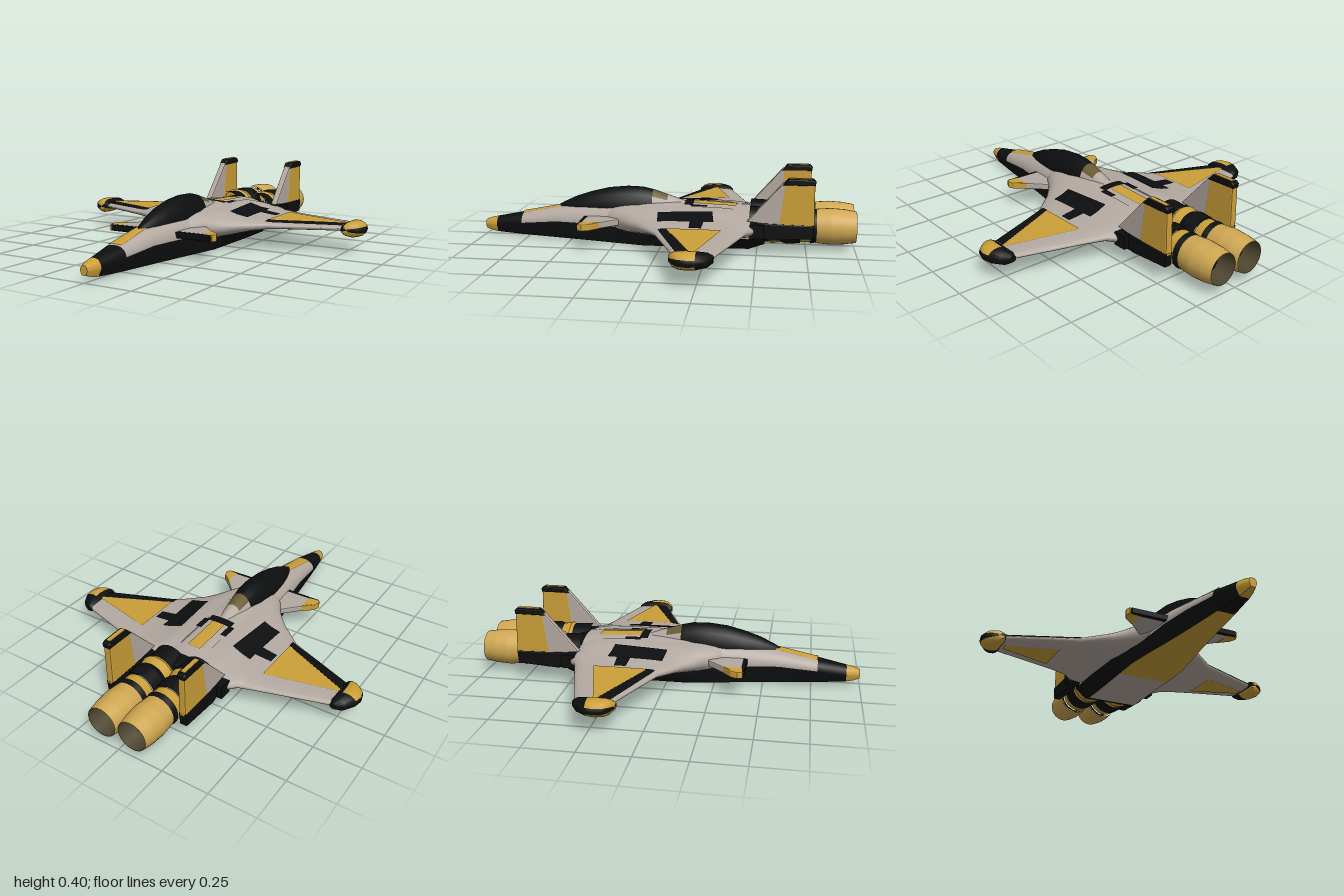
import * as THREE from 'three';
import { toCreasedNormals } from 'three/addons/utils/BufferGeometryUtils.js';

const mat = (name, color, side = THREE.FrontSide) => {
  const m = new THREE.MeshStandardMaterial({ color, side });
  m.name = name;
  return m;
};

// Piecewise linear lookup; rows are sorted by their first value
function lookup(rows, t, k = 1) {
  const up = rows[0][0] < rows[1][0];
  for (let i = 0; i < rows.length - 1; i++) {
    const [a, b] = [rows[i], rows[i + 1]];
    if (up ? t <= b[0] : t >= b[0]) {
      const f = THREE.MathUtils.clamp((t - a[0]) / (b[0] - a[0]), 0, 1);
      return a[k] + (b[k] - a[k]) * f;
    }
  }
  return rows[rows.length - 1][k];
}

// Skin over closed cross-sections; pick(row, column) gives the material index
function loft(rows, pick = () => 0, crease = 0.6) {
  const tris = [];
  const n = rows[0].length;
  const add = (m, ...pts) => (tris[m] ??= []).push(...pts.flat());
  for (let r = 0; r < rows.length - 1; r++) {
    for (let c = 0; c < n; c++) {
      const e = (c + 1) % n;
      const [a, b, d, f] = [rows[r][c], rows[r][e], rows[r + 1][c], rows[r + 1][e]];
      add(pick(r, c), a, d, b, b, d, f);
    }
  }
  for (const [r, flip] of [[0, false], [rows.length - 1, true]]) {
    for (let c = 1; c < n - 1; c++) {
      const [a, b, d] = [rows[r][0], rows[r][c], rows[r][c + 1]];
      add(pick(Math.min(r, rows.length - 2), c), a, flip ? d : b, flip ? b : d);
    }
  }
  const g = new THREE.BufferGeometry();
  let start = 0;
  tris.forEach((t, m) => { g.addGroup(start, t.length / 3, m); start += t.length / 3; });
  g.setAttribute('position', new THREE.Float32BufferAttribute(tris.flat(), 3));
  return toCreasedNormals(g, crease);
}

// Mirror in x, keeping faces outward
function mirrored(geo) {
  const g = geo.index ? geo.toNonIndexed() : geo.clone();
  for (const key of ['position', 'normal']) {
    const a = g.attributes[key];
    for (let i = 0; i < a.count; i += 3) {
      const p = [0, 2, 1].map(j => [-a.getX(i + j), a.getY(i + j), a.getZ(i + j)]);
      p.forEach((v, j) => a.setXYZ(i + j, ...v));
    }
  }
  return g;
}

// Fuselage stations: z, bottom half width, bottom y, chine half width, chine y, top y
const hull = [
  [1, .012, .035, .02, .055, .08], [.97, .02, .025, .033, .055, .092], [.93, .025, .018, .042, .055, .1],
  [.78, .045, .012, .068, .08, .13], [.58, .07, .008, .086, .1, .17], [.4, .095, .005, .11, .1, .2],
  [.25, .12, .003, .125, .09, .21], [.1, .14, 0, .165, .08, .217], [-.05, .14, 0, .19, .07, .217],
  [-.3, .14, 0, .2, .07, .205], [-.46, .14, .003, .2, .07, .2], [-.54, .13, .03, .19, .08, .18],
];
const dome = f => Math.sqrt(Math.max(0, 1 - Math.abs(f) ** 2.4));
const hullTop = (x, z) => {
  const [w, y, t] = [3, 4, 5].map(k => lookup(hull, z, k));
  return Math.abs(x) < w ? y + (t - y) * dome(x / w) : 0;
};

// Wing outline and thickness against x
const lead = [[.08, .33], [.13, .27], [.17, .2], [.25, .11], [.38, 0], [.72, -.135], [.8, -.17]];
const trail = [[.08, -.5], [.25, -.5], [.3, -.455], [.76, -.32], [.8, -.3]];
const upper = [[.08, .205], [.16, .195], [.22, .175], [.3, .162], [.4, .15], [.8, .14]];
const lower = [[.08, .05], [.2, .07], [.3, .093], [.4, .105], [.8, .112]];
function wingY(x, z, top) {
  const [l, t, a, b] = [lead, trail, upper, lower].map(r => lookup(r, x));
  const u = THREE.MathUtils.clamp((l - z) / (l - t), 0, 1);
  const half = (a - b) / 2 * Math.sqrt(1 - Math.abs(2 * u - 1) ** 5);
  return (a + b) / 2 + (top ? half : -half);
}

// Thin painted patch following the deck or the wing underside; corners are [x, z]
function patch(a, b, c, d, top = true, n = 14) {
  const g = new THREE.PlaneGeometry(1, 1, n, n);
  const p = g.attributes.position;
  const mix = THREE.MathUtils.lerp;
  for (let i = 0; i < p.count; i++) {
    const [u, v] = [p.getX(i) + .5, .5 - p.getY(i)];
    const x = mix(mix(a[0], b[0], u), mix(d[0], c[0], u), v);
    const z = mix(mix(a[1], b[1], u), mix(d[1], c[1], u), v);
    const y = top ? Math.max(wingY(Math.abs(x), z, true), hullTop(x, z)) + .005 : wingY(x, z, false) - .004;
    p.setXYZ(i, x, y, z);
  }
  g.computeVertexNormals();
  return g;
}

const slab = (pts, depth, bevel) => new THREE.ExtrudeGeometry(
  new THREE.Shape(pts.map(p => new THREE.Vector2(...p))),
  { depth: depth - 2 * bevel, bevelEnabled: true, bevelThickness: bevel, bevelSize: bevel, bevelOffset: -bevel, bevelSegments: 2 },
).translate(0, 0, bevel);

export function createModel() {
  const model = new THREE.Group();
  const two = THREE.DoubleSide;
  const grey = mat('warm grey', 0xb3a9a1);
  const black = mat('black', 0x0d0e0f);
  const gold = mat('gold', 0xcb9f38);
  const brass = mat('nozzle brass', 0xcfa752);
  const tint = mat('tinted glass', 0x675a34);
  const liner = mat('nozzle liner', 0x4d4630, two);
  const goldPaint = mat('gold paint', 0xcb9f38, two);
  const blackPaint = mat('black paint', 0x0d0e0f, two);
  const add = (name, geo, m) => {
    const mesh = new THREE.Mesh(geo, m);
    mesh.name = name;
    model.add(mesh);
  };
  const pair = (name, geo, m) => {
    add(name + 'Left', geo, m);
    add(name + 'Right', mirrored(geo), m);
  };

  // Fuselage: flat keel, black flanks, rounded deck
  const N = 16;
  const hullRows = hull.map(([z, wb, yb, w, y, t]) => {
    const row = [[-wb, yb, z], [wb, yb, z]];
    for (let i = 0; i <= N; i++) {
      const x = w * Math.cos(Math.PI * i / N);
      row.push([x, y + (t - y) * dome(x / w), z]);
    }
    return row;
  });
  add('fuselage', loft(hullRows, (r, c) => {
    if (r < 2) return 2;
    if (r < 3 || r > 9) return 1;
    if (c === 0) return r < 8 ? 2 : 0;
    return c === 1 || c === N + 2 ? 1 : 0;
  }), [grey, black, gold]);

  // Canopy with tinted rear pane and grey fairing: z, half width, top y
  const canopy = [[.59, .01, .172], [.55, .032, .195], [.48, .055, .228], [.4, .073, .255], [.3, .084, .28],
    [.2, .086, .29], [.12, .079, .288], [.06, .07, .275], [-.02, .058, .25], [-.12, .045, .215]];
  add('canopy', loft(canopy.map(([z, w, t]) => {
    const row = [];
    for (let i = 0; i <= 12; i++) {
      const a = Math.PI * i / 12;
      row.push([w * Math.cos(a), .15 + (t - .15) * Math.sin(a) ** .85, z]);
    }
    return row;
  }), (r, c) => (r < 7 ? 0 : r === 7 && c > 2 && c < 9 ? 1 : 2)), [black, tint, grey]);

  // Blended wings
  const stations = [.08, .11, .13, .15, .17, .21, .25, .3, .34, .38, .46, .55, .64, .72, .8];
  const wingRows = stations.map(x => {
    const [l, t] = [lookup(lead, x), lookup(trail, x)];
    const row = [];
    for (let i = 0; i < 40; i++) {
      const a = 2 * Math.PI * i / 40;
      const z = (l + t) / 2 + (l - t) / 2 * Math.cos(a);
      row.push([x, wingY(x, z, i < 20), z]);
    }
    return row.reverse();
  });
  pair('wing', loft(wingRows.reverse(), () => 0, 0.9), grey);

  // Wing paint
  pair('wingPanel', patch([.375, -.33], [.375, -.06], [.745, -.22], [.745, -.235]), goldPaint);
  pair('wingEdgeStripe', patch([.37, -.06], [.37, -.018], [.74, -.155], [.74, -.22]), blackPaint);
  pair('wingUnderPanel', patch([.45, -.33], [.45, -.12], [.72, -.21], [.72, -.25], false), goldPaint);
  pair('deckGrille', patch([.16, -.27], [.27, -.285], [.28, -.0], [.18, .01]), blackPaint);
  pair('deckGrilleVent', patch([.27, -.235], [.36, -.23], [.36, -.17], [.27, -.165]), blackPaint);

  // Spine and nose stripes
  add('spineStripe', patch([-.037, -.385], [.037, -.385], [.037, -.16], [-.037, -.16]), goldPaint);
  add('spineCrossBar', patch([-.07, -.16], [.07, -.16], [.07, -.115], [-.07, -.115]), blackPaint);
  pair('spineBracket', patch([.06, -.235], [.092, -.235], [.092, -.15], [.06, -.15]), blackPaint);
  add('noseStripe', patch([-.03, .56], [.03, .56], [.036, .78], [-.036, .78]), goldPaint);

  // Wing tip pods: z, centre x, half width, half height
  const pod = [[-.125, .76, .018, .016], [-.145, .775, .04, .032], [-.17, .785, .055, .04], [-.21, .791, .06, .042],
    [-.25, .787, .056, .04], [-.3, .77, .042, .032], [-.325, .757, .02, .015]];
  pair('wingTipPod', loft(pod.map(([z, x, w, h]) => {
    const row = [];
    for (let i = 0; i < 16; i++) {
      const a = Math.PI * i / 8;
      row.push([x + w * Math.cos(a), .122 + h * Math.sin(a), z]);
    }
    return row;
  }), (r, c) => (r < 4 && (c < 5 || c > 8) && c !== 0 && c !== 15 ? 1 : 0), 0.9), [black, gold]);

  // Canards with gold tips and black front edges
  const flat = (pts, d, y) => slab(pts, d, .006).rotateX(Math.PI / 2).translate(0, y, 0);
  pair('canard', flat([[.1, .2], [.165, .225], [.25, .315], [.25, .402], [.1, .402]], .034, .142), grey);
  pair('canardTip', flat([[.24, .305], [.295, .35], [.31, .385], [.3, .41], [.24, .405]], .036, .143), gold);
  pair('canardEdge', flat([[.1, .395], [.3, .395], [.29, .417], [.1, .42]], .032, .141), black);

  // Twin fins standing on black booms
  const upright = (pts, d) => slab(pts, d, .007).rotateY(-Math.PI / 2).translate(.215 + d / 2, 0, 0);
  pair('finFront', upright([[-.45, .17], [-.62, .15], [-.65, .37], [-.625, .37]], .036), grey);
  pair('finRear', upright([[-.605, .14], [-.785, .15], [-.78, .37], [-.632, .37]], .038), gold);
  pair('finCap', upright([[-.622, .36], [-.782, .36], [-.785, .38], [-.772, .392], [-.65, .392]], .046), black);
  pair('finCapInlay', new THREE.BoxGeometry(.022, .006, .11).translate(.215, .392, -.71), gold);
  pair('finBoom', upright([[-.5, .1], [-.56, .075], [-.78, .09], [-.785, .16], [-.5, .165]], .044), black);
  pair('rearCowl', new THREE.BoxGeometry(.1, .07, .07).translate(.215, .125, -.5), black);

  // Engines: front z, rear z, front radius, rear radius
  const bands = [
    [-.46, -.56, .095, .09, black], [-.56, -.575, .09, .098, gold], [-.575, -.62, .098, .088, gold],
    [-.62, -.65, .088, .097, black], [-.65, -.72, .097, .092, black], [-.72, -.77, .086, .086, gold],
    [-.77, -.8, .092, .086, black], [-.8, -.87, .088, .094, brass], [-.87, -.94, .094, .09, brass],
    [-.94, -1, .09, .08, brass], [-.9, -1, .07, .079, liner],
  ];
  const ex = .088, ey = .125;
  bands.forEach(([z0, z1, r0, r1, m], i) => {
    const g = new THREE.CylinderGeometry(r1, r0, z0 - z1, 28, 1, true);
    pair('engineBand' + (i + 1), g.rotateX(-Math.PI / 2).translate(ex, ey, (z0 + z1) / 2), m);
  });
  pair('nozzleLip', new THREE.RingGeometry(.078, .08, 28).rotateY(Math.PI).translate(ex, ey, -1), brass);
  pair('engineCore', new THREE.CircleGeometry(.075, 28).rotateY(Math.PI).translate(ex, ey, -.905), black);
  return model;
}
